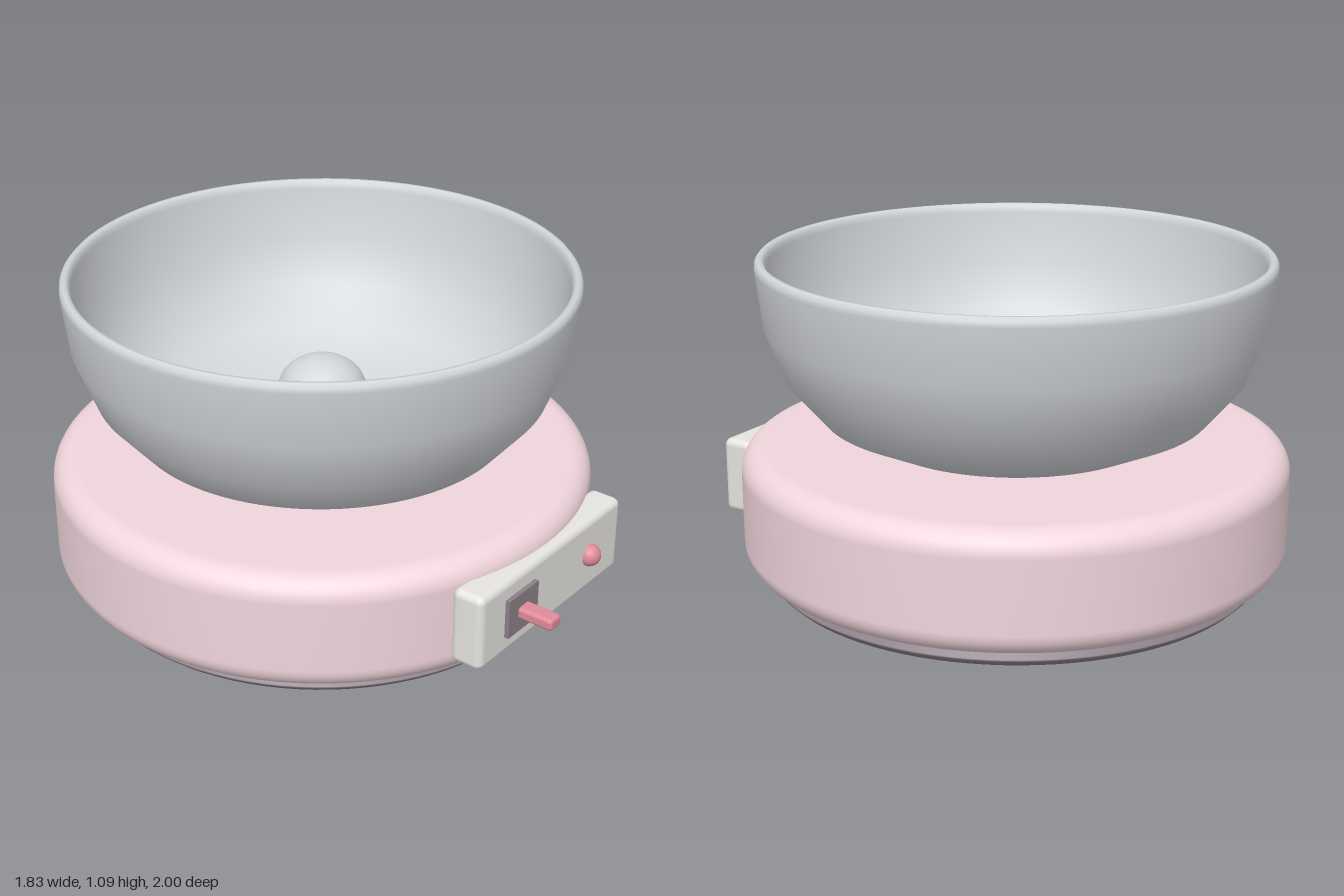
import * as THREE from 'three';
import { RoundedBoxGeometry } from 'three/addons/geometries/RoundedBoxGeometry.js';

const material = (color) => new THREE.MeshStandardMaterial({ color });
const PINK = material(0xf0d5dc), BOWL = material(0xd3d6db), DARK = material(0x8c8089);
const IVORY = material(0xe6e4e0), ROSE = material(0xe08c9a);

export function createModel() {
  const model = new THREE.Group();
  const round = new THREE.Group(); // everything turned about the bowl axis
  round.name = 'turnedParts';
  round.position.z = -0.083;
  model.add(round);

  const add = (parent, name, geometry, mat, x = 0, y = 0, z = 0) => {
    const mesh = new THREE.Mesh(geometry, mat);
    mesh.name = name;
    mesh.position.set(x, y, z);
    parent.add(mesh);
    return mesh;
  };
  const lathe = (points) =>
    new THREE.LatheGeometry(points.map(([r, y]) => new THREE.Vector2(r, y)), 96);
  // quarter-round corner of a profile, from angle a to a + 90 degrees
  const corner = (r, y, radius, a) => Array.from({ length: 9 }, (_, i) => {
    const t = a + (i / 8) * Math.PI / 2;
    return [r + radius * Math.cos(t), y + radius * Math.sin(t)];
  });

  // bevelled foot under the body
  add(round, 'foot', lathe([
    [0, 0], [0.80, 0], [0.812, 0.001], [0.834, 0.022], [0.834, 0.028], [0.80, 0.06], [0.78, 0.08],
  ]), DARK);

  // drum-shaped body with rounded edges
  add(round, 'body', lathe([
    [0, 0.06], [0.82, 0.06],
    ...corner(0.835, 0.14, 0.08, -Math.PI / 2),
    ...corner(0.835, 0.38, 0.08, 0),
    [0.82, 0.46], [0, 0.46],
  ]), PINK);

  // bowl: outer wall, rounded rim, inner wall and the dip around the hub
  add(round, 'bowl', lathe([
    [0, 0.455], [0.33, 0.465], [0.48, 0.482], [0.645, 0.56], [0.76, 0.695], [0.828, 0.87],
    [0.85, 1.06], [0.848, 1.078], [0.838, 1.09], [0.825, 1.09], [0.816, 1.078], [0.812, 1.06],
    [0.79, 0.88], [0.725, 0.715], [0.62, 0.595], [0.46, 0.525], [0.27, 0.505], [0.15, 0.485], [0, 0.48],
  ]), BOWL);

  // central hub with a domed cap
  add(round, 'hubPost', new THREE.CylinderGeometry(0.147, 0.147, 0.18, 32, 1, true), BOWL, 0, 0.56, 0);
  const cap = add(round, 'hubCap',
    new THREE.SphereGeometry(0.15, 32, 16, 0, Math.PI * 2, 0, Math.PI / 2), BOWL, 0, 0.65, 0);
  cap.scale.y = 0.8;

  // control panel with switch and lamp
  const controls = new THREE.Group();
  controls.name = 'controls';
  model.add(controls);
  add(controls, 'controlPanel', new RoundedBoxGeometry(0.8, 0.265, 0.115, 4, 0.025), IVORY, 0, 0.26, 0.807);
  add(controls, 'switchPlate', new THREE.BoxGeometry(0.16, 0.135, 0.03), DARK, -0.19, 0.262, 0.865);
  add(controls, 'switchLever', new RoundedBoxGeometry(0.06, 0.04, 0.14, 3, 0.012), ROSE, -0.19, 0.262, 0.93);
  add(controls, 'lamp', new THREE.SphereGeometry(0.038, 24, 16), ROSE, 0.213, 0.262, 0.867);

  return model;
}
